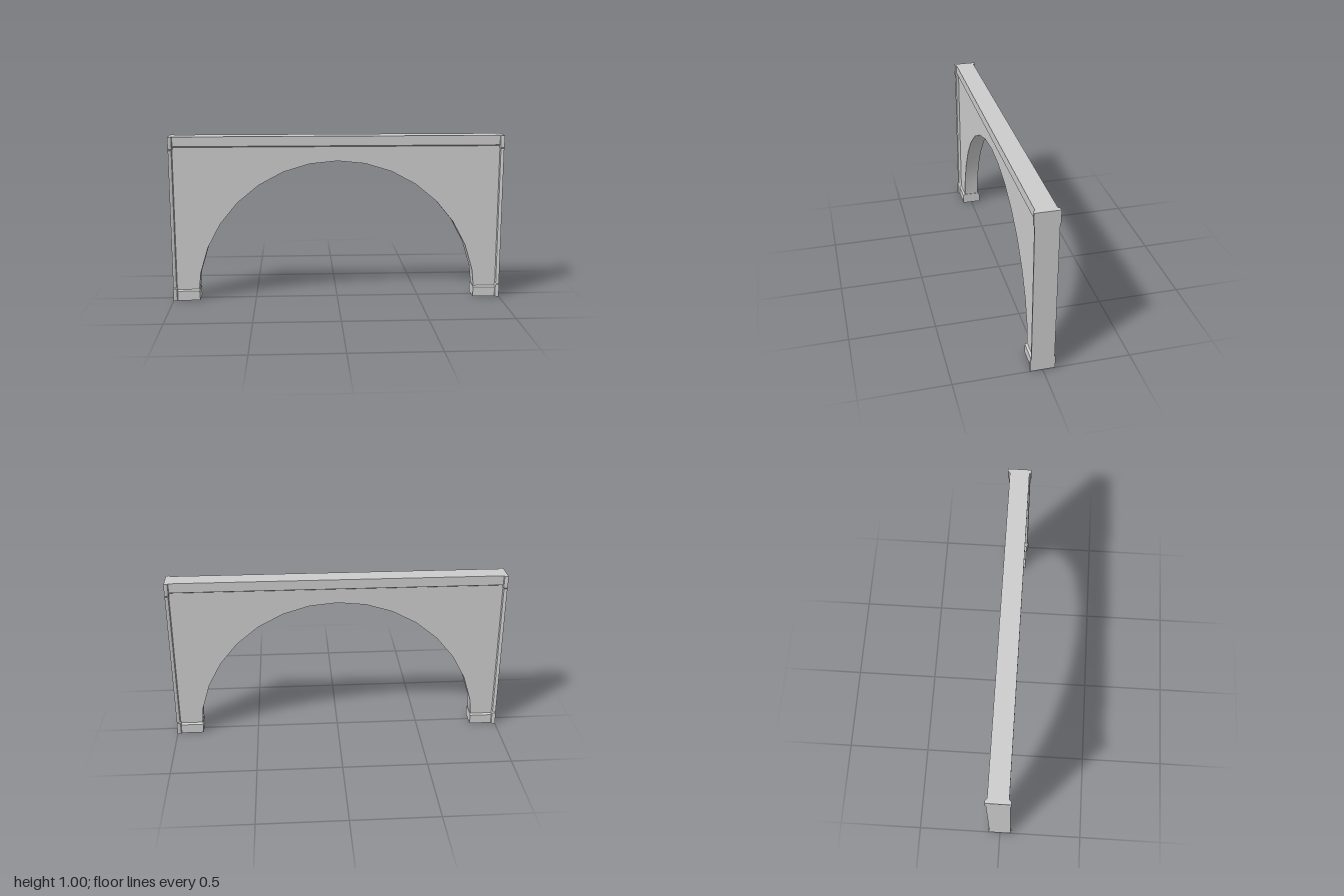
import * as THREE from 'three';
import { toCreasedNormals } from 'three/addons/utils/BufferGeometryUtils.js';

const material = new THREE.MeshStandardMaterial({ color: 0xcccccc });

function mesh(name, geometry) {
  const m = new THREE.Mesh(toCreasedNormals(geometry, 0.6), material);
  m.name = name;
  return m;
}

const shapeOf = (points) => new THREE.Shape(points.map(([x, y]) => new THREE.Vector2(x, y)));

// Extrude a (z, y) profile along x, from x0 to x1
function bar(profile, x0, x1) {
  const g = new THREE.ExtrudeGeometry(shapeOf(profile), { depth: x1 - x0, bevelEnabled: false });
  return g.rotateY(Math.PI / 2).translate(x0, 0, 0);
}

// Stack convex (x, z) outlines at the given heights into a closed solid
function loft(sections) {
  const n = sections[0].outline.length;
  const positions = [], index = [];
  for (const { y, outline } of sections) for (const [x, z] of outline) positions.push(x, y, z);
  for (let s = 0; s < sections.length - 1; s++) {
    for (let i = 0; i < n; i++) {
      const a = s * n + i, b = s * n + (i + 1) % n;
      index.push(a, a + n, b, b, a + n, b + n);
    }
  }
  const top = (sections.length - 1) * n;
  for (let i = 1; i < n - 1; i++) {
    index.push(0, i, i + 1, top, top + i + 1, top + i);
  }
  const g = new THREE.BufferGeometry();
  g.setAttribute('position', new THREE.Float32BufferAttribute(positions, 3));
  g.setIndex(index);
  return g;
}

// Post outline: flat outer face, softened inner corners
const postOutline = (half, inner) => [
  [1, -half], [1, half], [inner + 0.011, half], [inner + 0.003, half - 0.004], [inner, half - 0.011],
  [inner, -half + 0.011], [inner + 0.003, -half + 0.004], [inner + 0.011, -half],
];

export function createModel() {
  const group = new THREE.Group();
  const radius = 0.85, wallHalf = 0.045, trimHalf = 0.058;

  // Thin wall with a faceted semicircular opening
  const outline = [[-0.99, 0.03], [-0.99, 0.98], [0.99, 0.98], [0.99, 0.03], [0.847, 0.03]];
  for (let i = 1; i < 16; i++) {
    const a = (i / 16) * Math.PI;
    outline.push([radius * Math.cos(a), radius * Math.sin(a)]);
  }
  outline.push([-0.847, 0.03]);
  const wall = new THREE.ExtrudeGeometry(shapeOf(outline), { depth: wallHalf * 2, bevelEnabled: false });
  group.add(mesh('archWall', wall.translate(0, 0, -wallHalf)));

  // Top beam with chamfered lower edges
  const beam = [
    [-wallHalf, 0.936], [wallHalf, 0.936], [trimHalf, 0.943],
    [trimHalf, 1], [-trimHalf, 1], [-trimHalf, 0.943],
  ];
  group.add(mesh('topBeam', bar(beam, -0.985, 0.985)));

  // Foot profile and post sections, shared by both ends
  const foot = [
    [-trimHalf, 0], [trimHalf, 0], [trimHalf, 0.058],
    [wallHalf, 0.066], [-wallHalf, 0.066], [-trimHalf, 0.058],
  ];
  const cap = postOutline(0.07, 0.975), shaft = postOutline(0.065, 0.978);
  const post = [
    { y: 0, outline: cap }, { y: 0.075, outline: cap }, { y: 0.082, outline: shaft },
    { y: 0.92, outline: shaft }, { y: 0.927, outline: cap }, { y: 1, outline: cap },
  ];
  for (const side of ['left', 'right']) {
    const end = new THREE.Group();
    end.name = side + 'End';
    end.add(mesh(side + 'Foot', bar(foot, 0.84, 0.99)));
    end.add(mesh(side + 'Post', loft(post)));
    if (side === 'right') end.rotation.y = Math.PI;
    group.add(end);
  }
  return group;
}
